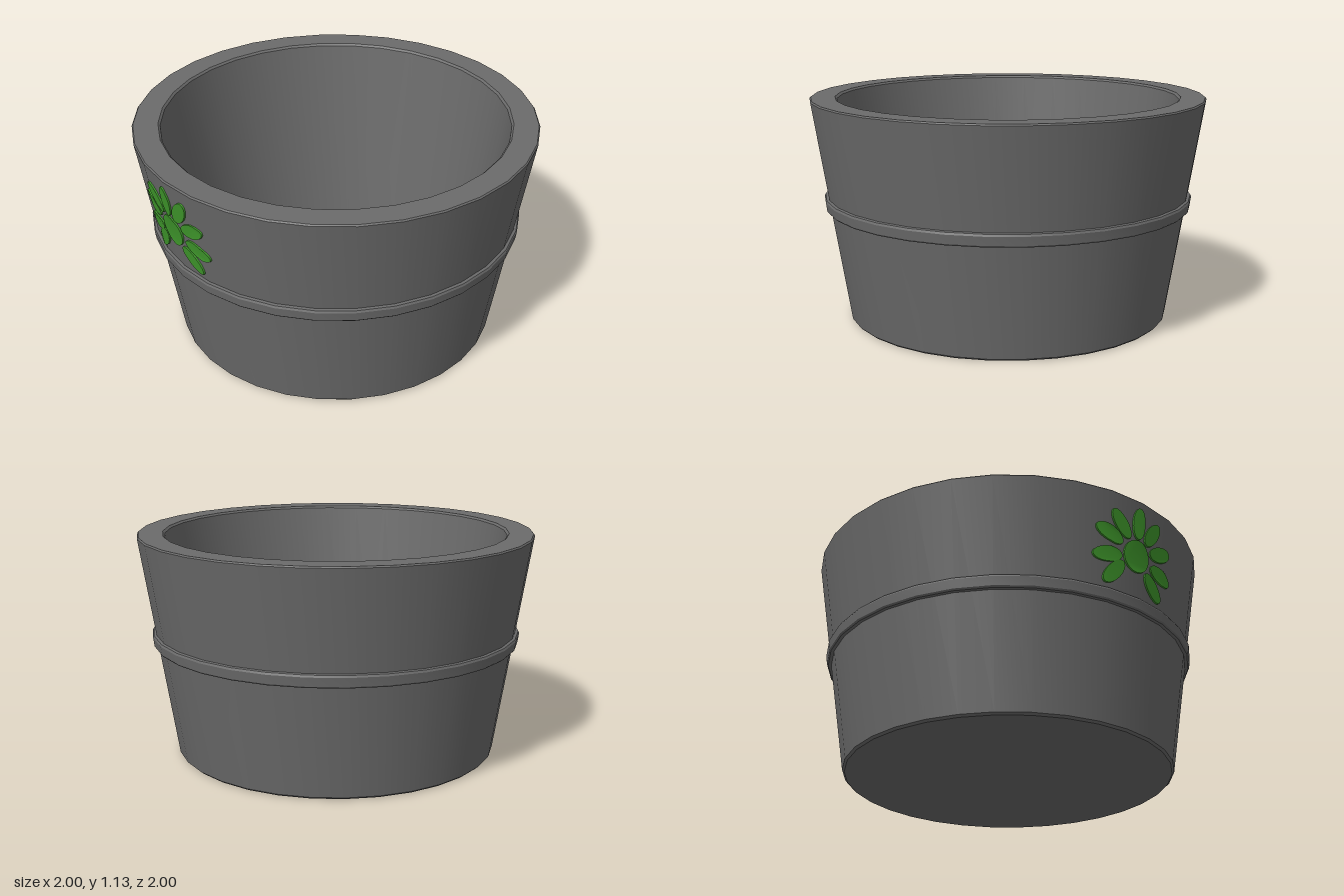
import * as THREE from 'three';
import { toCreasedNormals } from 'three/addons/utils/BufferGeometryUtils.js';

const SIDES = 32;
const STEP = (Math.PI * 2) / SIDES;

const stone = new THREE.MeshStandardMaterial({ color: 0x6b6b6b });
stone.name = 'grey stone';
const leaf = new THREE.MeshStandardMaterial({ color: 0x409a2c });
leaf.name = 'green paint';

// Outer radius of the tapered wall at height y
const wallRadius = (y) => 0.822 + 0.157 * y;

// Depth of the faceted wall's front at (x, y)
function wallZ(x, y) {
  const r = wallRadius(y);
  const facet = Math.floor(Math.asin(Math.abs(x) / r) / STEP);
  const mid = (facet + 0.5) * STEP;
  return (r * Math.cos(STEP / 2) - Math.abs(x) * Math.sin(mid)) / Math.cos(mid);
}

function turned(name, profile) {
  const points = profile.map(([r, y]) => new THREE.Vector2(r, y));
  const geometry = toCreasedNormals(new THREE.LatheGeometry(points, SIDES), 0.5);
  const mesh = new THREE.Mesh(geometry, stone);
  mesh.name = name;
  return mesh;
}

// Thin ellipse wrapped onto the front of the wall
function paintedEllipse(name, x, y, halfLength, halfWidth, degrees) {
  const shape = new THREE.Shape();
  shape.absellipse(0, 0, halfLength, halfWidth, 0, Math.PI * 2);
  let geometry = new THREE.ExtrudeGeometry(shape, { depth: 0.009, bevelEnabled: false, curveSegments: 12 });
  geometry.rotateZ(THREE.MathUtils.degToRad(degrees));
  geometry.translate(x, y, 0);
  const p = geometry.attributes.position;
  for (let i = 0; i < p.count; i++) {
    p.setZ(i, p.getZ(i) + wallZ(p.getX(i), p.getY(i)));
  }
  geometry = toCreasedNormals(geometry, 0.6);
  const mesh = new THREE.Mesh(geometry, leaf);
  mesh.name = name;
  return mesh;
}

export function createModel() {
  const model = new THREE.Group();
  model.name = 'planter';

  // Hollow tapered pot: underside, outer wall, rim, inner wall, floor
  model.add(turned('pot', [
    [0, 0], [0.812, 0], [0.823, 0.01],
    [0.999, 1.123], [0.993, 1.13],
    [0.872, 1.13], [0.862, 1.12],
    [0.703, 0.1], [0, 0.1],
  ]));

  // Raised band around the middle
  model.add(turned('band', [
    [0.9, 0.568], [0.927, 0.57], [0.934, 0.578],
    [0.94, 0.622], [0.935, 0.632], [0.91, 0.638],
  ]));

  // Flower on the front: x, y, tilt of each petal
  const flower = new THREE.Group();
  flower.name = 'flower';
  flower.add(paintedEllipse('flowerCentre', -0.024, 0.84, 0.08, 0.08, 0));
  const petals = [
    [-0.024, 1.006, 90], [-0.13, 0.974, 134], [0.072, 0.984, 55],
    [-0.19, 0.909, 160], [0.138, 0.909, 20], [-0.193, 0.803, 10],
    [0.152, 0.803, -12], [-0.152, 0.727, 50], [0.099, 0.722, -41],
  ];
  for (const [x, y, tilt] of petals) {
    flower.add(paintedEllipse('petal', x, y, 0.08, 0.038, tilt));
  }
  model.add(flower);

  return model;
}
